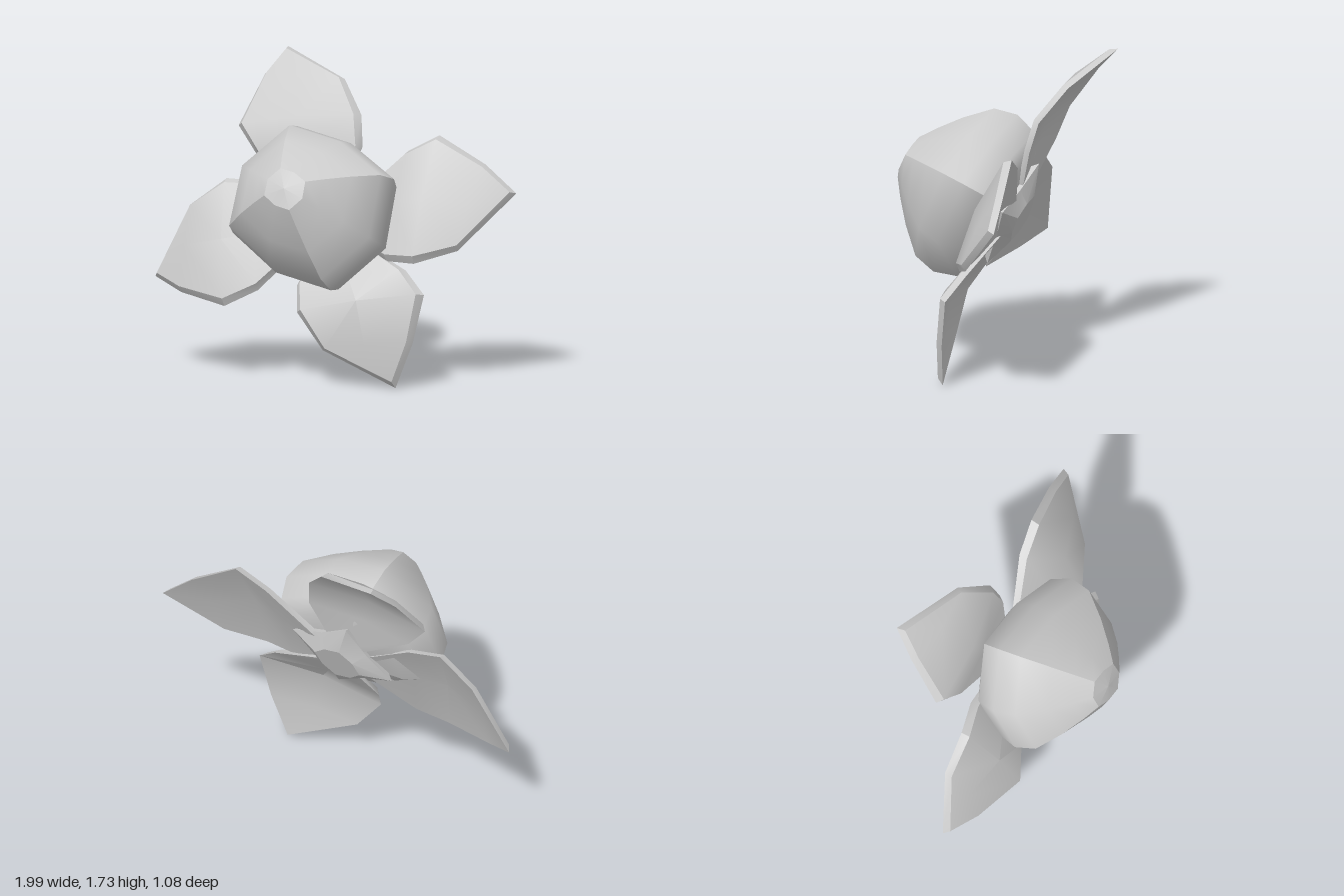
import * as THREE from 'three';
import { toCreasedNormals } from 'three/addons/utils/BufferGeometryUtils.js';

const v = (x, y, z) => new THREE.Vector3(x, y, z);
const mix = (a, b, t) => a.clone().lerp(b, t);
const material = new THREE.MeshStandardMaterial({ color: 0xcccccc, side: THREE.DoubleSide });

// Tilted axis of the fruit
const centre = v(0, 0.99, 0.16);
const axis = v(0.05, 0.4, 0.915).normalize();
const sideways = v(0, 1, 0).cross(axis).normalize();
const upward = axis.clone().cross(sideways);

// Point at height s along the axis, radius r and angle in degrees
function polar(s, r, degrees) {
  const a = THREE.MathUtils.degToRad(degrees);
  return centre.clone().addScaledVector(axis, s)
    .addScaledVector(sideways, r * Math.cos(a)).addScaledVector(upward, r * Math.sin(a));
}

// Skin a list of rows of points
function skin(rows, closed, crease) {
  const n = rows[0].length;
  const index = [];
  for (let i = 0; i < rows.length - 1; i++) {
    for (let k = 0; k < (closed ? n : n - 1); k++) {
      const a = i * n + k, b = i * n + (k + 1) % n;
      index.push(a, b, b + n, a, b + n, a + n);
    }
  }
  const geometry = new THREE.BufferGeometry().setFromPoints(rows.flat());
  geometry.setIndex(index);
  geometry.computeVertexNormals();
  return crease ? toCreasedNormals(geometry, crease) : geometry;
}

function add(group, name, geometry) {
  const mesh = new THREE.Mesh(geometry, material);
  mesh.name = name;
  group.add(mesh);
}

// Fruit: four bulging sides between sharp ridges
function makeFruit() {
  const fruit = new THREE.Group();
  fruit.name = 'fruit';
  const ridges = [24, 112, 201, 292, 384];
  const bulge = [0.84, 0.98, 0.84, 0.98];
  const profile = [[-0.27, 0.2], [-0.24, 0.36], [-0.18, 0.45], [-0.05, 0.49],
    [0.08, 0.46], [0.21, 0.335], [0.31, 0.215], [0.375, 0.125]];
  for (let j = 0; j < 4; j++) {
    const from = ridges[j], to = ridges[j + 1];
    const rows = profile.map(([s, r]) =>
      [polar(s, r, from), polar(s, r * bulge[j], (from + to) / 2), polar(s, r, to)]);
    add(fruit, 'fruitSide', skin(rows, false));
  }
  // Small blunt end at the front
  const rim = [];
  for (let j = 0; j < 4; j++) {
    rim.push(polar(0.375, 0.125, ridges[j]));
    rim.push(polar(0.375, 0.125 * bulge[j], (ridges[j] + ridges[j + 1]) / 2));
  }
  add(fruit, 'fruitTip', skin([rim, rim.map(() => polar(0.39, 0, 0))], true));
  return fruit;
}

// Calyx: pointed square flange narrowing to a flat stem scar
function makeCalyx() {
  const ring = (s, corner, middle) => Array.from({ length: 8 },
    (_, k) => polar(s, k % 2 ? middle : corner, 18 + 45 * k));
  const rows = [ring(-0.35, 0, 0), ring(-0.35, 0.14, 0.125),
    ring(-0.29, 0.31, 0.2), ring(-0.24, 0.26, 0.18)];
  return skin(rows, true, 0.35);
}

// Leaf: six-point cross-sections from root to tip, the front face inset
function makeLeaf({ tip, wide, shoulder }) {
  const hub = polar(-0.27, 0, 0);
  const root = mix(hub, tip, 0.12);
  const across = wide[0].clone().sub(wide[1]);
  const rootEdge = [0.12, -0.12].map((k) => root.clone().addScaledVector(across, k));
  const base = wide.map((w, i) => mix(rootEdge[i], w, 0.6)
    .addScaledVector(across, i ? -0.08 : 0.08));
  const edges = [rootEdge, base, wide, shoulder, [tip, tip]];
  const arch = [0, 0.025, 0.035, 0.02, 0];
  const inward = mix(wide[0], wide[1], 0.5).sub(tip).multiplyScalar(0.05);
  const rows = edges.map(([p, m], i) => {
    const mid = mix(p, m, 0.5).addScaledVector(axis, arch[i]);
    const front = [mix(p, mid, 0.09), mid.clone(), mix(m, mid, 0.09)];
    front.forEach((q) => {
      q.addScaledVector(axis, 0.02);
      if (i === 4) q.add(inward);
    });
    const back = [m, mid, p].map((q) => q.clone().addScaledVector(axis, -0.015));
    return [...back, ...front];
  });
  return skin(rows, true, 0.6);
}

// Each pair lists the counter-clockwise edge first
const leaves = {
  leftLeaf: {
    tip: v(0.99, 1.06, -0.38),
    wide: [v(0.55, 1.36, -0.31), v(0.55, 0.69, 0)],
    shoulder: [v(0.81, 1.21, -0.36), v(0.76, 0.76, -0.12)],
  },
  topLeaf: {
    tip: v(-0.5, 1.74, -0.52),
    wide: [v(-0.63, 1.34, -0.18), v(0.08, 1.44, -0.28)],
    shoulder: [v(-0.57, 1.6, -0.38), v(-0.08, 1.61, -0.39)],
  },
  rightLeaf: {
    tip: v(-1, 0.51, 0.1),
    wide: [v(-0.49, 0.41, 0.26), v(-0.62, 1.07, -0.02)],
    shoulder: [v(-0.8, 0.45, 0.18), v(-0.82, 0.92, 0)],
  },
  bottomLeaf: {
    tip: v(0.5, 0.01, 0.12),
    wide: [v(0.64, 0.53, 0.05), v(-0.07, 0.4, 0.2)],
    shoulder: [v(0.59, 0.26, 0.09), v(0.09, 0.2, 0.2)],
  },
};

export function createModel() {
  const model = new THREE.Group();
  model.name = 'fruitWithLeaves';
  model.add(makeFruit());
  add(model, 'calyx', makeCalyx());
  for (const [name, leaf] of Object.entries(leaves)) add(model, name, makeLeaf(leaf));
  return model;
}
